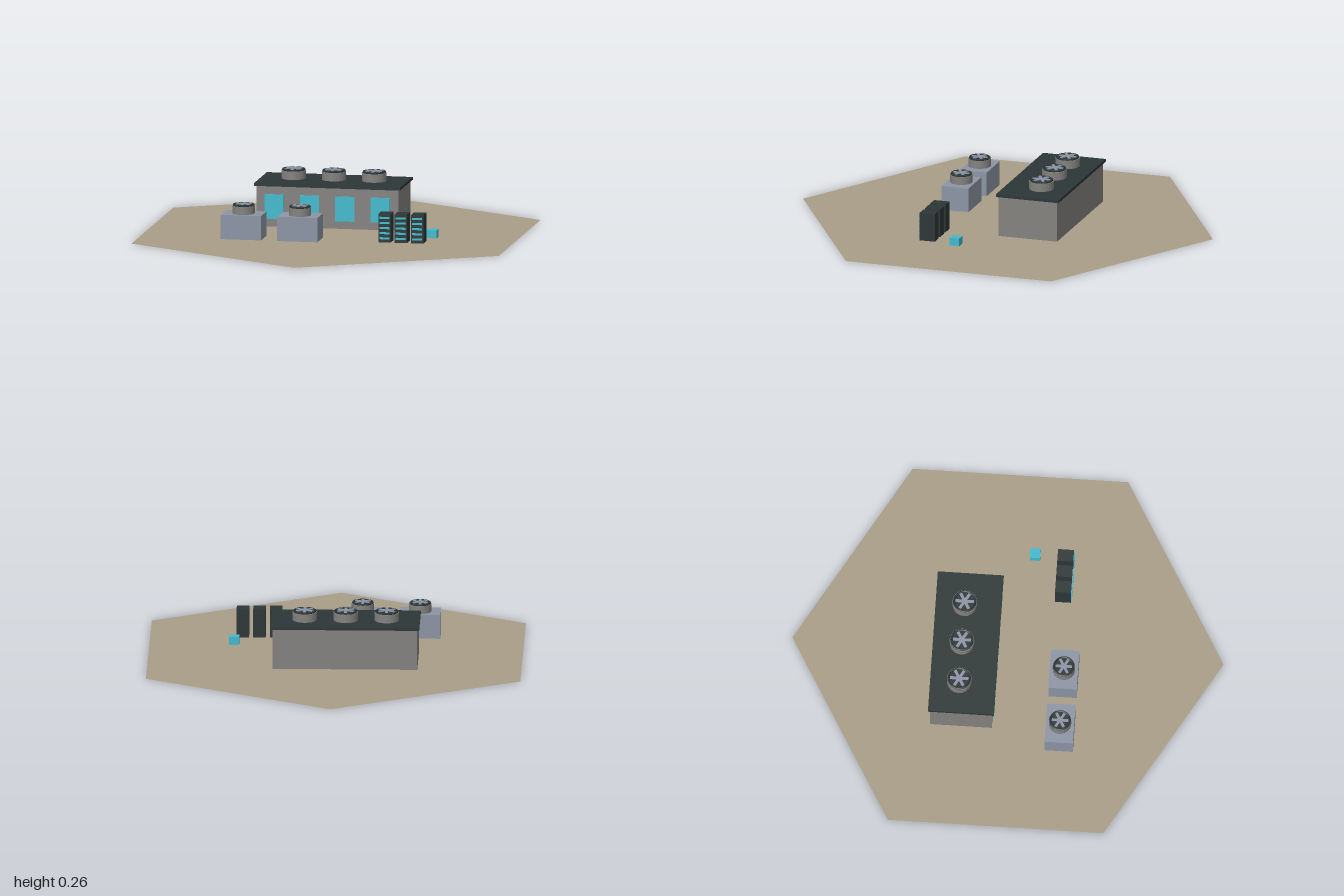
import * as THREE from 'three';

const mat = (name, color, side = THREE.FrontSide) => {
  const m = new THREE.MeshStandardMaterial({ color, side });
  m.name = name;
  return m;
};

export function createModel() {
  const root = new THREE.Group();
  root.name = 'serverSite';
  const sand = mat('sand', 0xa89d87, THREE.DoubleSide);
  const wall = mat('concrete', 0x84827f);
  const dark = mat('darkSlate', 0x2c3637);
  const cyan = mat('cyan', 0x40bace);
  const steel = mat('blueSteel', 0x8c94a4);
  const BASE = 0.006;

  const add = (parent, name, geometry, material, x = 0, y = 0, z = 0) => {
    const mesh = new THREE.Mesh(geometry, material);
    mesh.name = name;
    mesh.position.set(x, y, z);
    parent.add(mesh);
    return mesh;
  };
  // Box given by its centre in x and z and by its bottom and top heights
  const box = (parent, name, material, w, d, y0, y1, x, z) =>
    add(parent, name, new THREE.BoxGeometry(w, y1 - y0, d), material, x, (y0 + y1) / 2, z);
  const group = (name, x = 0, y = 0, z = 0) => {
    const g = new THREE.Group();
    g.name = name;
    g.position.set(x, y, z);
    root.add(g);
    return g;
  };

  // Flat hexagonal ground with corners on the z axis
  const ground = new THREE.CircleGeometry(1, 6, Math.PI / 2);
  ground.rotateX(-Math.PI / 2);
  add(root, 'ground', ground, sand);

  // Fan: drum, dark grille disc, rim and six blades
  const fan = (name, x, y, z, r, h) => {
    const g = group(name, x, y, z);
    add(g, 'drum', new THREE.CylinderGeometry(r, r, h, 20), wall, 0, h / 2);
    add(g, 'grille', new THREE.CylinderGeometry(r * 0.93, r * 0.93, 0.004, 20), dark, 0, h + 0.002);
    const rim = add(g, 'rim', new THREE.TorusGeometry(r * 0.87, 0.005, 6, 24), dark, 0, h + 0.003);
    rim.rotation.x = Math.PI / 2;
    for (let i = 0; i < 6; i++) {
      const blade = new THREE.BoxGeometry(r * 0.24, 0.004, r * 0.72);
      blade.translate(0, 0, r * 0.38);
      add(g, 'blade', blade, steel, 0, h + 0.007 + (i % 3) * 0.0004).rotation.y = (i * Math.PI) / 3;
    }
  };

  // Main hall with roof slab, windows and roof fans
  const hall = group('hall');
  box(hall, 'walls', wall, 0.67, 0.286, BASE, 0.196, -0.05, -0.192);
  box(hall, 'roof', dark, 0.688, 0.306, 0.196, 0.209, -0.05, -0.192);
  for (let i = 0; i < 4; i++) {
    box(hall, 'window', cyan, 0.09, 0.008, 0.042, 0.158, -0.301 + i * 0.167, -0.046);
  }
  for (let i = 0; i < 3; i++) fan('roofFan', -0.241 + i * 0.19, 0.209, -0.21, 0.057, 0.039);

  // Cooling units
  for (const x of [-0.383, -0.117]) {
    box(root, 'coolingUnit', steel, 0.19, 0.132, BASE, 0.12, x, 0.267);
    fan('coolingFan', x, 0.12, 0.267, 0.052, 0.037);
  }

  // Server racks with lit strips on the front
  for (let i = 0; i < 3; i++) {
    const x = 0.283 + i * 0.077;
    const rack = group('serverRack', x, 0, 0.238);
    box(rack, 'cabinet', dark, 0.058, 0.074, BASE, 0.139, 0, 0);
    for (let j = 0; j < 5; j++) {
      const y = 0.021 + j * 0.024;
      box(rack, 'lightStrip', cyan, 0.047, 0.005, y, y + 0.009, 0, 0.0385);
    }
  }

  // Small crate
  box(root, 'crate', cyan, 0.048, 0.048, BASE, 0.043, 0.474, 0.095);

  return root;
}
